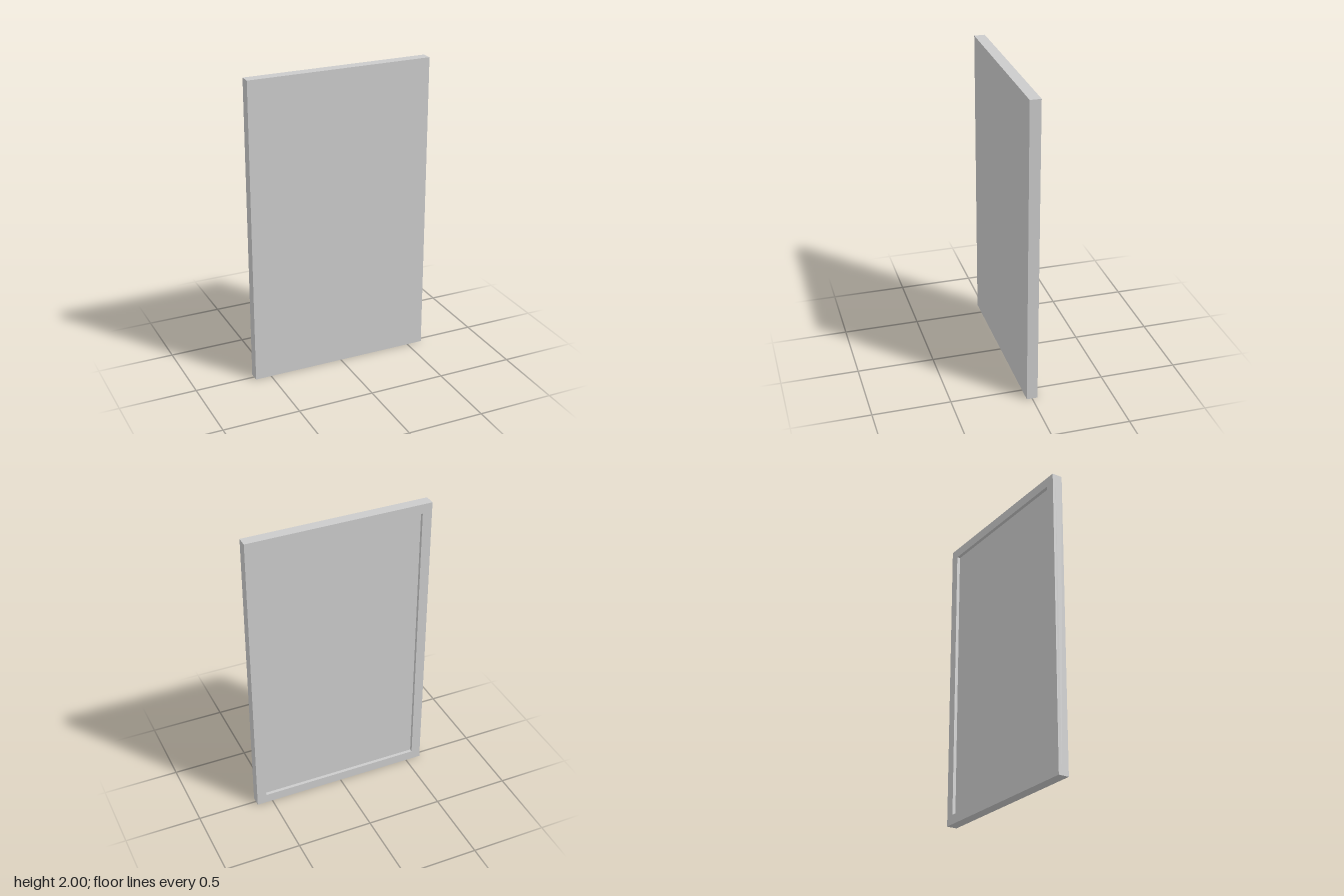
import * as THREE from 'three';

const WIDTH = 1.21, HEIGHT = 2, DEPTH = 0.07;
const BORDER = 0.063, RECESS = 0.022;

// Rectangle centred on x, inset evenly from the outer outline
function outline(PathType, inset) {
  const x = WIDTH / 2 - inset, y0 = inset, y1 = HEIGHT - inset;
  return new PathType([
    new THREE.Vector2(-x, y0), new THREE.Vector2(x, y0),
    new THREE.Vector2(x, y1), new THREE.Vector2(-x, y1),
  ]);
}

export function createModel() {
  const group = new THREE.Group();
  group.name = 'framedPanel';
  const material = new THREE.MeshStandardMaterial({ color: 0xcccccc });

  // Extrude a shape between two z positions
  const addSlab = (name, shape, zBack, zFront) => {
    const geometry = new THREE.ExtrudeGeometry(shape, { depth: zFront - zBack, bevelEnabled: false });
    geometry.translate(0, 0, zBack);
    const mesh = new THREE.Mesh(geometry, material);
    mesh.name = name;
    group.add(mesh);
  };

  // Flat front panel
  const step = -DEPTH / 2 + RECESS;
  addSlab('frontPanel', outline(THREE.Shape, 0), step, DEPTH / 2);

  // Raised rim around the recessed back
  const rim = outline(THREE.Shape, 0);
  rim.holes.push(outline(THREE.Path, BORDER));
  addSlab('backRim', rim, -DEPTH / 2, step);

  return group;
}
